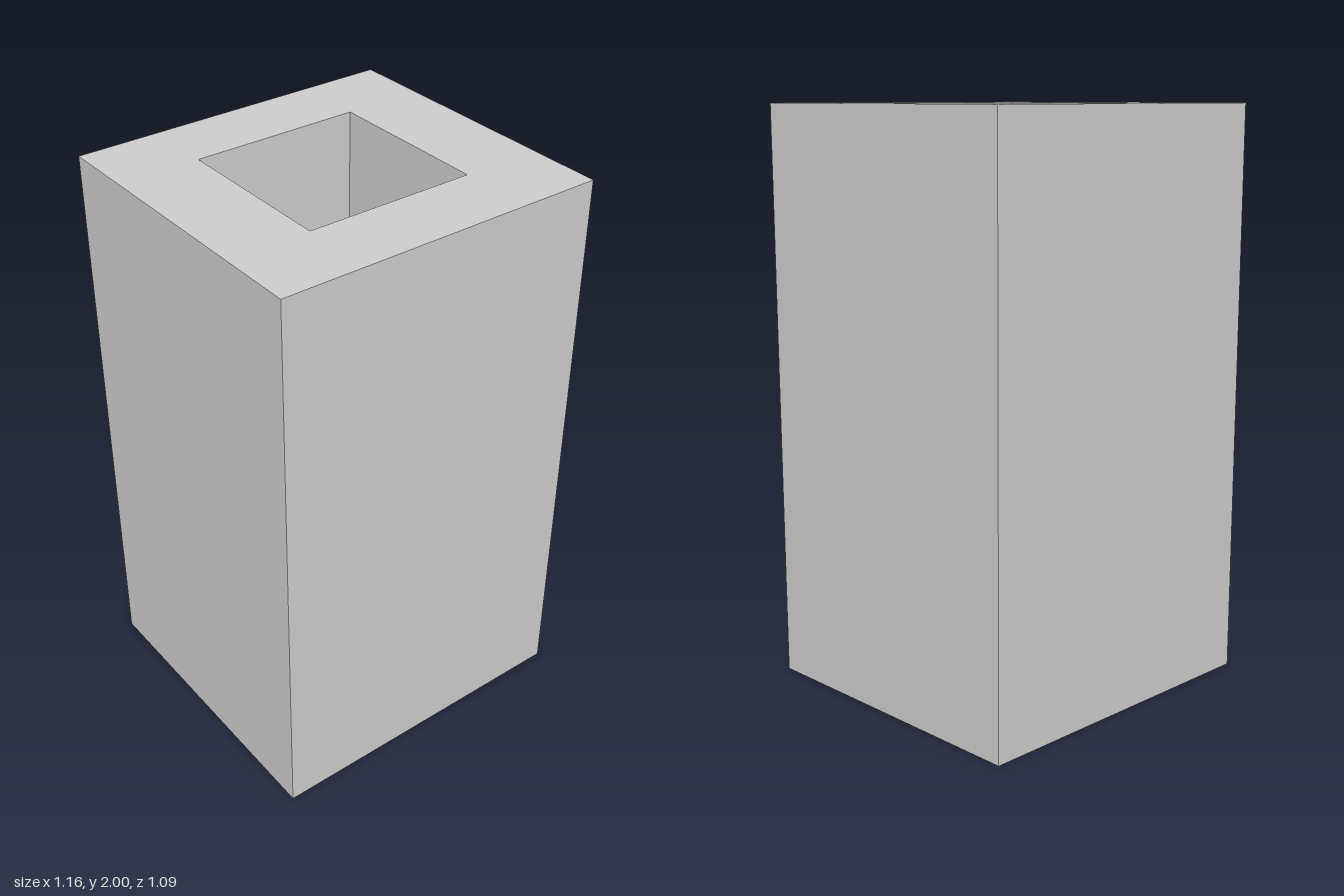
import * as THREE from 'three';

// Four corners of a level rectangle, anticlockwise seen from above
function ring(x0, x1, z0, z1, y) {
  return [[x1, y, z1], [x1, y, z0], [x0, y, z0], [x0, y, z1]];
}

export function createModel() {
  const group = new THREE.Group();

  // Outer wall up, over the rim, then down the recess to its floor
  const rings = [
    ring(-0.58, 0.58, -0.545, 0.54, 0),
    ring(-0.58, 0.58, -0.545, 0.54, 2),
    ring(-0.295, 0.3, -0.3, 0.283, 2),
    ring(-0.295, 0.3, -0.3, 0.283, 0.25),
  ];

  const positions = [];
  const quad = (a, b, c, d) => positions.push(...a, ...b, ...c, ...a, ...c, ...d);

  for (let r = 0; r < rings.length - 1; r++) {
    const a = rings[r], b = rings[r + 1];
    for (let i = 0; i < 4; i++) {
      const j = (i + 1) % 4;
      quad(a[i], a[j], b[j], b[i]);
    }
  }
  quad(...[...rings[0]].reverse()); // underside
  quad(...rings[3]); // recess floor

  const geometry = new THREE.BufferGeometry();
  geometry.setAttribute('position', new THREE.Float32BufferAttribute(positions, 3));
  geometry.computeVertexNormals();

  const body = new THREE.Mesh(
    geometry,
    new THREE.MeshStandardMaterial({ color: 0xcccccc, flatShading: true })
  );
  body.name = 'hollowBlock';
  group.add(body);
  return group;
}
